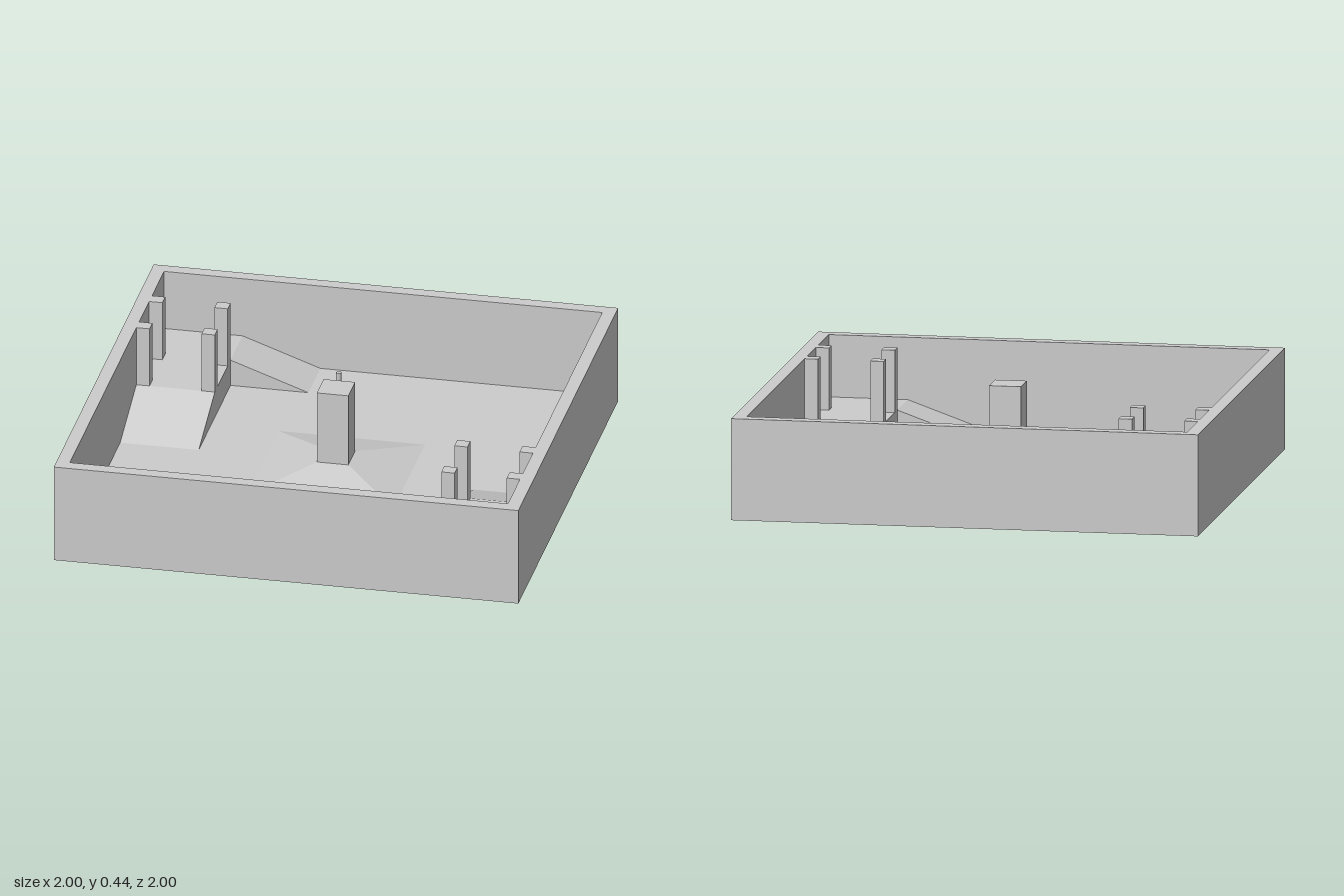
import * as THREE from 'three';

const H = 0.435, FLOOR = 0.05, DECK = 0.168, IN = 0.943;
const material = new THREE.MeshStandardMaterial({ color: 0xcccccc, flatShading: true });

function add(parent, name, geometry, x = 0, y = 0, z = 0) {
  const mesh = new THREE.Mesh(geometry, material);
  mesh.name = name;
  mesh.position.set(x, y, z);
  parent.add(mesh);
  return mesh;
}

function extrude(points, depth) {
  const shape = new THREE.Shape(points.map(([x, y]) => new THREE.Vector2(x, y)));
  return new THREE.ExtrudeGeometry(shape, { depth, bevelEnabled: false });
}

// Raised corner deck with two ramps, four posts and a floor peg
function createCorner() {
  const corner = new THREE.Group();
  const edge = -0.605, front = -0.388, back = -0.703, post = 0.057;

  // Deck and its long ramp share one side profile, drawn in z and y
  const deck = extrude([[-IN, FLOOR], [-0.065, FLOOR], [front, DECK], [-IN, DECK]], IN + edge);
  deck.rotateY(-Math.PI / 2);
  add(corner, 'deckWithRamp', deck, edge);

  // Ramp running along the back wall
  const ramp = extrude([[edge, FLOOR], [-0.27, FLOOR], [edge, DECK]], IN + back);
  add(corner, 'sideRamp', ramp, 0, 0, -IN);

  // Posts rising from the deck to the height of the wall
  for (const x of [-IN + post / 2, edge - post / 2]) {
    for (const z of [back + post / 2, front - post / 2]) {
      add(corner, 'post', new THREE.BoxGeometry(post, H - DECK, post), x, (H + DECK) / 2, z);
    }
  }

  add(corner, 'peg', new THREE.CylinderGeometry(0.011, 0.011, 0.06, 12), -0.16, FLOOR + 0.03, -0.8);
  return corner;
}

export function createModel() {
  const model = new THREE.Group();
  model.name = 'arena';

  // Floor slab and surrounding wall
  add(model, 'floor', new THREE.BoxGeometry(2 * IN, FLOOR, 2 * IN), 0, FLOOR / 2, 0);
  const frame = new THREE.Shape([[-1, -1], [1, -1], [1, 1], [-1, 1]].map(([x, y]) => new THREE.Vector2(x, y)));
  frame.holes.push(new THREE.Path([[-IN, -IN], [-IN, IN], [IN, IN], [IN, -IN]].map(([x, y]) => new THREE.Vector2(x, y))));
  const wall = new THREE.ExtrudeGeometry(frame, { depth: H, bevelEnabled: false });
  wall.rotateX(-Math.PI / 2);
  add(model, 'wall', wall);

  // Sloped mound with the central column
  const moundTop = 0.112, half = 0.068;
  const mound = new THREE.CylinderGeometry(half * Math.SQRT2, 0.315 * Math.SQRT2, moundTop - FLOOR, 4);
  mound.rotateY(Math.PI / 4);
  add(model, 'mound', mound, 0, (moundTop + FLOOR) / 2, 0);
  add(model, 'column', new THREE.BoxGeometry(half * 2, H - moundTop, half * 2), 0, (H + moundTop) / 2, 0);

  // The two opposite corners match under a half turn
  ['backCorner', 'frontCorner'].forEach((name, i) => {
    const corner = createCorner();
    corner.name = name;
    corner.rotation.y = i * Math.PI;
    model.add(corner);
  });
  return model;
}
